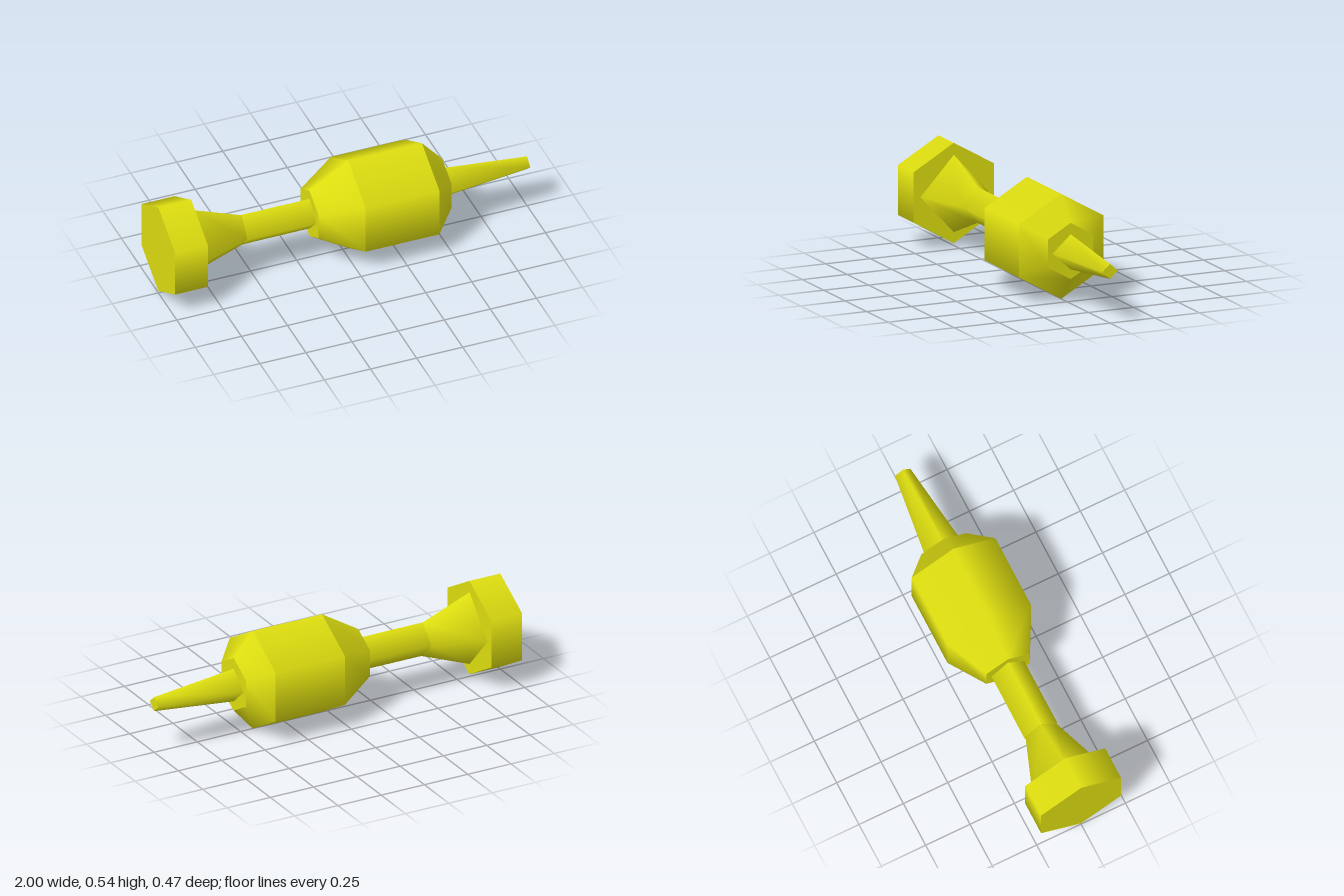
import * as THREE from 'three';

export function createModel() {
  const model = new THREE.Group();
  const yellow = new THREE.MeshStandardMaterial({ color: 0xdede10 });
  yellow.name = 'yellow';

  // Prism or taper lying along x, with corners at top and bottom
  function section(name, x0, x1, r0, r1, sides, { y = 0.273, zScale = 1, open = false } = {}) {
    const geo = new THREE.CylinderGeometry(r1, r0, x1 - x0, sides, 1, open, Math.PI / 2);
    geo.rotateZ(-Math.PI / 2);
    geo.scale(1, 1, zScale);
    const mesh = new THREE.Mesh(geo, yellow);
    mesh.name = name;
    mesh.position.set((x0 + x1) / 2, y, 0);
    model.add(mesh);
  }

  // Hexagonal end cap
  section('endCap', -1, -0.822, 0.26, 0.26, 6);

  // Four-sided flare and neck
  section('flare', -0.822, -0.55, 0.2, 0.093, 4, { y: 0.27, zScale: 0.93 });
  section('neck', -0.55, -0.17, 0.093, 0.092, 4, { y: 0.272 });

  // Hexagonal body: rear taper, barrel, front taper
  section('rearTaper', -0.18, 0.03, 0.141, 0.272, 6);
  section('barrel', 0.03, 0.43, 0.272, 0.272, 6, { open: true });
  section('frontTaper', 0.43, 0.54, 0.272, 0.146, 6);

  // Four-sided pointed nose, slightly wider than tall at its root
  section('nose', 0.53, 1, 0.092, 0.039, 4, { y: 0.269, zScale: 1.11 });

  return model;
}
